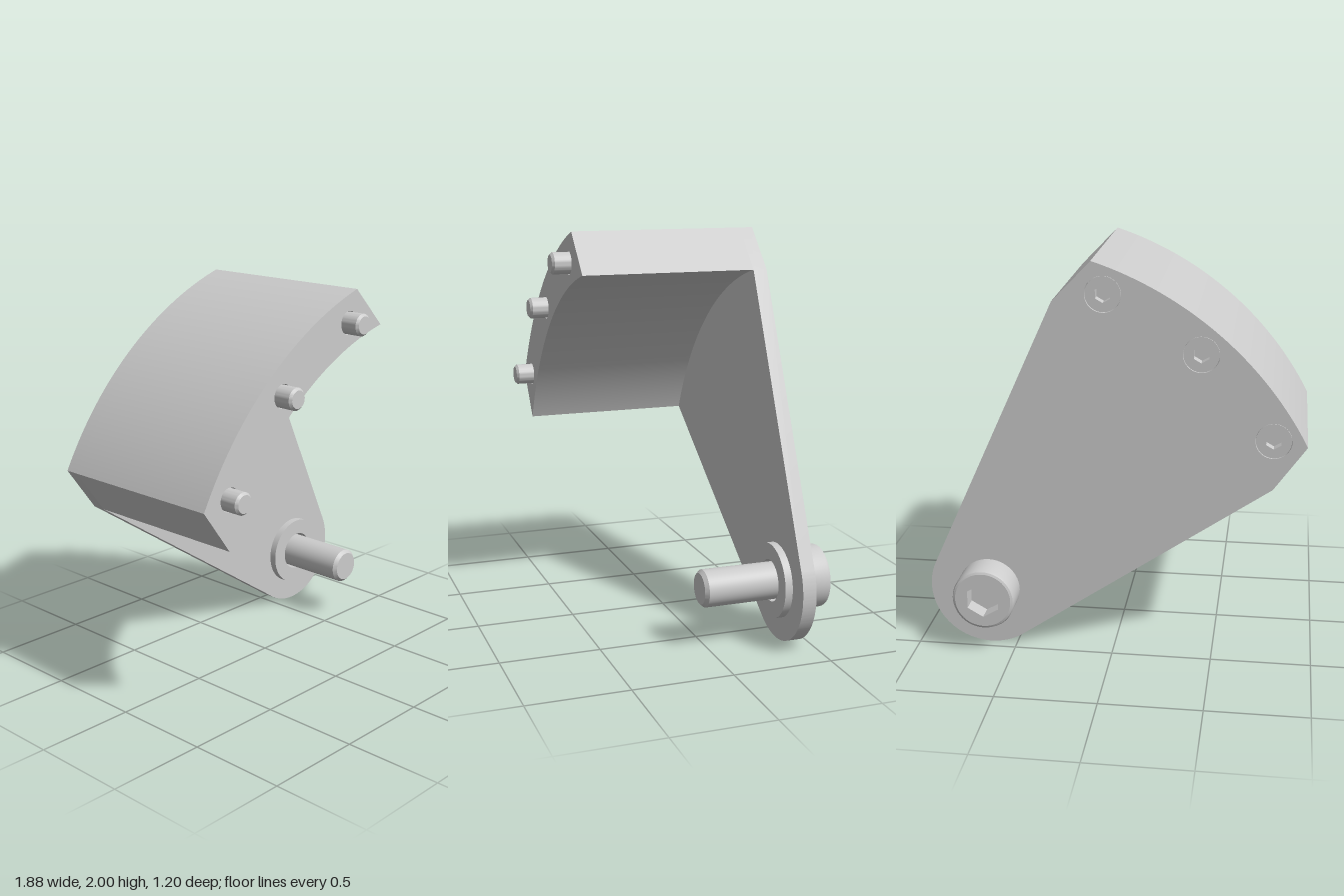
import * as THREE from 'three';
import { toCreasedNormals } from 'three/addons/utils/BufferGeometryUtils.js';

const material = new THREE.MeshStandardMaterial({ color: 0xcccccc });
const innerFaces = new THREE.MeshStandardMaterial({ color: 0xcccccc, side: THREE.DoubleSide });
const rad = THREE.MathUtils.degToRad;

// Everything is laid out in polar coordinates around the pivot bolt
const OUTER = 1.777, INNER = 1.538, BOLT_CIRCLE = 1.648, EYE = 0.303;
const BACK = -0.445, PLATE_FRONT = -0.375, BLOCK_FRONT = 0.505;
const SCREW_ANGLES = [111, 130, 149];
const polar = (r, deg) => new THREE.Vector2(r * Math.cos(rad(deg)), r * Math.sin(rad(deg)));

function mesh(name, geometry, mat = material) {
  const m = new THREE.Mesh(geometry, mat);
  m.name = name;
  return m;
}

function slab(name, shape, z0, z1) {
  const g = new THREE.ExtrudeGeometry(shape, { depth: z1 - z0, bevelEnabled: false, curveSegments: 48 });
  g.translate(0, 0, z0);
  return mesh(name, toCreasedNormals(g, 0.4));
}

function addHole(shape, centre, r) {
  shape.holes.push(new THREE.Path().absarc(centre.x, centre.y, r, 0, Math.PI * 2, true));
}

// Socket screw: head face at z = 0 facing +z, shank running to -z.
// The profile lists [radius, z] from the tip up to the rim of the head face.
function socketScrew(name, profile, hexR, socketDepth) {
  const group = new THREE.Group();
  group.name = name;
  const body = new THREE.LatheGeometry(profile.map(([r, z]) => new THREE.Vector2(r, z)), 48);
  body.rotateX(Math.PI / 2);
  group.add(mesh('screwBody', toCreasedNormals(body, 0.5)));

  const face = new THREE.Shape().absarc(0, 0, profile[profile.length - 1][0], 0, Math.PI * 2);
  const hex = [0, 1, 2, 3, 4, 5].map(i => polar(hexR, 90 + i * 60));
  face.holes.push(new THREE.Path(hex).closePath());
  group.add(mesh('headFace', new THREE.ShapeGeometry(face, 24)));

  const walls = new THREE.CylinderGeometry(hexR, hexR, socketDepth, 6, 1, true);
  walls.rotateX(Math.PI / 2).translate(0, 0, -socketDepth / 2);
  group.add(mesh('socketWalls', toCreasedNormals(walls, 0.5), innerFaces));

  const floor = new THREE.ShapeGeometry(new THREE.Shape(hex));
  floor.translate(0, 0, -socketDepth);
  group.add(mesh('socketFloor', floor));
  group.rotation.y = Math.PI; // heads face the back
  return group;
}

export function createModel() {
  const model = new THREE.Group();
  model.name = 'sectorArm';
  const arm = new THREE.Group();
  arm.name = 'arm';
  arm.position.set(0.637, EYE, 0);
  model.add(arm);

  // Back plate: sector with tangent sides running down to the round eye
  const tangent = THREE.MathUtils.radToDeg(Math.acos(EYE / INNER));
  const plate = new THREE.Shape();
  plate.absarc(0, 0, OUTER, rad(107.5), rad(152.4), false);
  const corner = polar(INNER, 157);
  plate.lineTo(corner.x, corner.y);
  plate.absarc(0, 0, EYE, rad(157 + tangent), rad(463 - tangent), false);
  const topCorner = polar(INNER, 103);
  plate.lineTo(topCorner.x, topCorner.y);
  plate.closePath();
  addHole(plate, new THREE.Vector2(), 0.105);
  SCREW_ANGLES.forEach(a => addHole(plate, polar(BOLT_CIRCLE, a), 0.088));
  arm.add(slab('backPlate', plate, BACK, PLATE_FRONT));

  // Curved block in front of the plate
  const block = new THREE.Shape();
  block.absarc(0, 0, OUTER, rad(107.5), rad(152.4), false);
  block.absarc(0, 0, INNER, rad(157), rad(103), true);
  block.closePath();
  SCREW_ANGLES.forEach(a => addHole(block, polar(BOLT_CIRCLE, a), 0.058));
  arm.add(slab('curvedBlock', block, PLATE_FRONT, BLOCK_FRONT));

  // Flush screws through the block
  SCREW_ANGLES.forEach((a, i) => {
    const screw = socketScrew('blockScrew' + (i + 1), [
      [0, -1.042], [0.043, -1.042], [0.054, -1.03], [0.054, -0.05], [0.086, -0.012], [0.086, 0],
    ], 0.042, 0.05);
    const p = polar(BOLT_CIRCLE, a);
    screw.position.set(p.x, p.y, BACK + 0.003);
    arm.add(screw);
  });

  // Pivot bolt
  const bolt = socketScrew('pivotBolt', [
    [0, -0.635], [0.077, -0.635], [0.093, -0.617], [0.093, -0.155], [0.157, -0.155],
    [0.157, -0.016], [0.152, -0.005], [0.141, 0],
  ], 0.09, 0.085);
  bolt.position.z = -0.6;
  arm.add(bolt);

  // Washer under the plate
  const washer = new THREE.Shape().absarc(0, 0, 0.187, 0, Math.PI * 2);
  addHole(washer, new THREE.Vector2(), 0.105);
  arm.add(slab('washer', washer, PLATE_FRONT, -0.337));

  return model;
}
